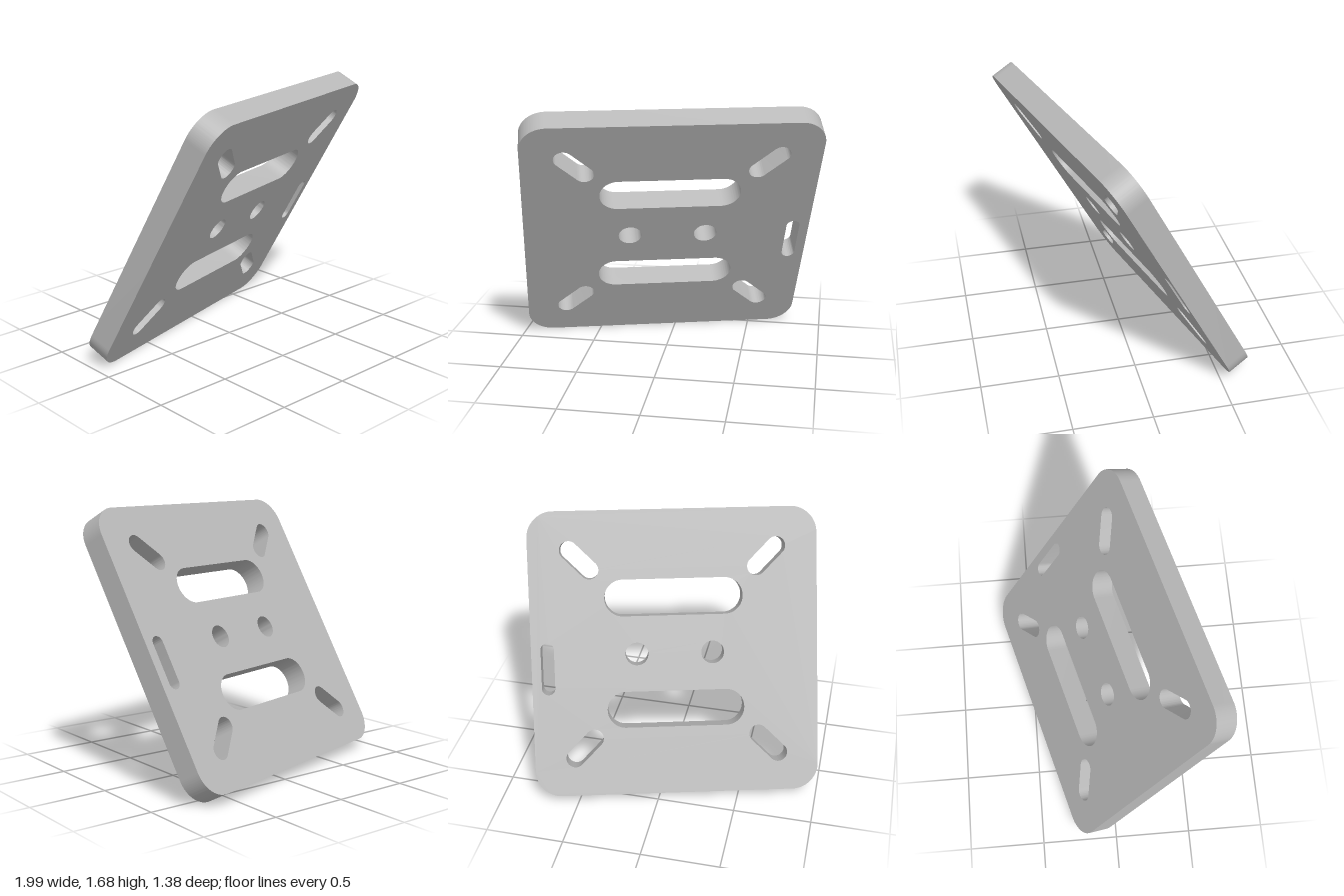
import * as THREE from 'three';
import { toCreasedNormals } from 'three/addons/utils/BufferGeometryUtils.js';

const SIZE = 1.83, RADIUS = 0.168, THICK = 0.15;
const YAW = THREE.MathUtils.degToRad(15);
const LEAN = THREE.MathUtils.degToRad(28.4);

// Square outline with rounded corners
function roundedSquare(size, r) {
  const c = size / 2 - r, q = Math.PI / 2;
  const s = new THREE.Shape();
  [[c, c], [-c, c], [-c, -c], [c, -c]].forEach(([x, y], i) => s.absarc(x, y, r, i * q, (i + 1) * q, false));
  s.closePath();
  return s;
}

// Slot with round ends: overall length, width and direction
function slot(x, y, length, width, angle) {
  const h = (length - width) / 2, r = width / 2, q = Math.PI / 2;
  const dx = Math.cos(angle) * h, dy = Math.sin(angle) * h;
  const p = new THREE.Path();
  p.absarc(x + dx, y + dy, r, angle - q, angle + q, false);
  p.absarc(x - dx, y - dy, r, angle + q, angle + 3 * q, false);
  p.closePath();
  return p;
}

export function createModel() {
  const grey = new THREE.MeshStandardMaterial({ color: 0xb8b8b8 });
  grey.name = 'plain grey';

  const outline = roundedSquare(SIZE, RADIUS);
  for (const s of [-1, 1]) {
    // Long central slots
    outline.holes.push(slot(0, s * 0.36, 0.88, 0.234, 0));
    // Round centre holes
    const hole = new THREE.Path();
    hole.absarc(s * 0.242, 0, 0.073, 0, Math.PI * 2, false);
    outline.holes.push(hole);
    // Diagonal slots pointing at the corners
    for (const t of [-1, 1]) {
      outline.holes.push(slot(s * 0.593, t * 0.605, 0.296, 0.118, s * t * Math.PI / 4));
    }
  }
  // Narrow strap slot near the left edge
  outline.holes.push(slot(0.812, -0.083, 0.335, 0.085, Math.PI / 2));

  let geometry = new THREE.ExtrudeGeometry(outline, { depth: THICK, bevelEnabled: false, curveSegments: 24 });
  geometry.translate(0, 0, -THICK / 2);
  geometry = toCreasedNormals(geometry, Math.PI / 6);

  // Lean the plate forward, turn it, and stand it on the ground
  geometry.rotateX(LEAN);
  geometry.rotateY(YAW);
  geometry.computeBoundingBox();
  const box = geometry.boundingBox;
  const mid = box.getCenter(new THREE.Vector3());
  geometry.translate(-mid.x, -box.min.y, -mid.z);

  const plate = new THREE.Mesh(geometry, grey);
  plate.name = 'mountingPlate';
  const model = new THREE.Group();
  model.name = 'slottedPlate';
  model.add(plate);
  return model;
}
